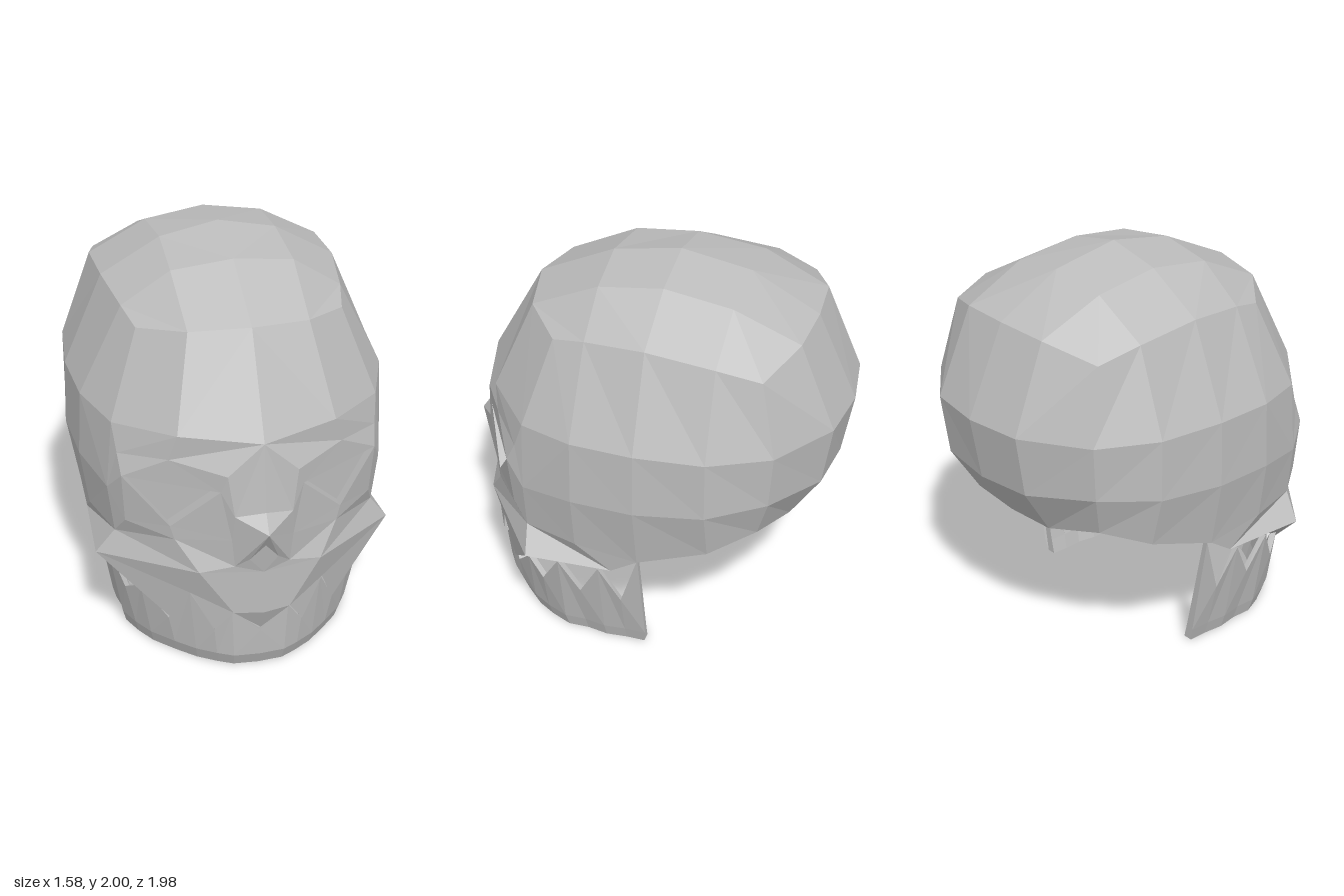
import * as THREE from 'three';

const bone = new THREE.MeshStandardMaterial({ color: 0xbcbcbc, side: THREE.DoubleSide, flatShading: true });
bone.name = 'bone grey';

const V = (x, y, z) => new THREE.Vector3(x, y, z);
const list = (...rows) => rows.map((r) => V(...r));

// Collects flat polygons for the left half, turns them away from a centre, and mirrors them.
class HalfPart {
  constructor(name) { this.name = name; this.data = []; }
  tri(a, b, c, centre, inward) {
    const n = b.clone().sub(a).cross(c.clone().sub(a));
    const mid = a.clone().add(b).add(c).divideScalar(3).sub(centre);
    if ((n.dot(mid) < 0) !== inward) [b, c] = [c, b];
    for (const p of [a, b, c]) this.data.push(p.x, p.y, p.z);
    for (const p of [a, c, b]) this.data.push(-p.x, p.y, p.z);
  }
  poly(points, centre = V(0, 1, 0.1), inward = false) {
    for (let i = 1; i < points.length - 1; i++) this.tri(points[0], points[i], points[i + 1], centre, inward);
    return this;
  }
  polys(...all) { all.forEach((p) => this.poly(p)); return this; }
  grid(rows) {
    for (let r = 0; r < rows.length - 1; r++)
      for (let i = 0; i < rows[r].length - 1; i++)
        this.poly([rows[r][i], rows[r][i + 1], rows[r + 1][i + 1], rows[r + 1][i]]);
    return this;
  }
  mesh() {
    const g = new THREE.BufferGeometry();
    g.setAttribute('position', new THREE.Float32BufferAttribute(this.data, 3));
    g.computeVertexNormals();
    const m = new THREE.Mesh(g, bone);
    m.name = this.name;
    return m;
  }
}

export function createModel() {
  const group = new THREE.Group();
  group.name = 'skull';

  // Half rings of the braincase, running from front centre to back centre
  const t = list([0, 1.76, 0.62], [0.29, 1.74, 0.56], [0.5, 1.7, 0.38], [0.54, 1.74, 0.21], [0.585, 1.77, -0.1],
    [0.59, 1.74, -0.44], [0.54, 1.68, -0.65], [0.28, 1.75, -0.765], [0, 1.76, -0.785]);
  const a = list([0, 1.29, 0.88], [0.38, 1.3, 0.74], [0.65, 1.28, 0.5], [0.755, 1.3, 0.22], [0.78, 1.31, -0.1],
    [0.745, 1.31, -0.44], [0.6, 1.31, -0.73], [0.3, 1.32, -0.945], [0, 1.32, -0.985]);
  const b = list([0.77, 0.97, 0.22], [0.79, 0.98, -0.1], [0.745, 1, -0.44], [0.59, 1.03, -0.71], [0.3, 1.01, -0.9], [0, 1, -0.93]);
  const c = list([0.73, 0.68, 0.22], [0.73, 0.64, -0.1], [0.68, 0.74, -0.44], [0.54, 0.82, -0.65], [0.28, 0.77, -0.75], [0, 0.76, -0.76]);

  // Crown, sides and back
  const cranium = new HalfPart('cranium');
  cranium.grid([
    [t[0], t[1], t[2]],
    [V(0, 1.94, 0.24), V(0.3, 1.9, 0.22), t[3]],
    [V(0, 2, -0.1), V(0.29, 1.94, -0.1), t[4]],
    [V(0, 1.94, -0.45), V(0.3, 1.895, -0.44), t[5]],
    [t[8], t[7], t[6]],
  ]);
  cranium.grid([t, a]).grid([a.slice(3), b, c]);

  // Underside of the braincase
  const base = new HalfPart('skullBase');
  const s0 = V(0, 0.545, 0.04), s2 = V(0.72, 0.545, 0.04), f0 = V(0, 0.64, -0.1), f1 = V(0, 0.68, -0.46);
  base.polys([s0, s2, c[1], f0], [f0, c[1], c[2], f1], [f1, c[2], c[3], c[4], c[5]]);

  // Brow, eye surround and cheek
  const [g1, g2, g3, o, l, e, i, n] = list([0.17, 1.13, 0.87], [0.42, 1.17, 0.72], [0.635, 1.14, 0.55],
    [0.68, 0.93, 0.5], [0.61, 0.78, 0.58], [0.4, 0.74, 0.74], [0.15, 0.78, 0.87], [0.14, 0.92, 0.89]);
  const [bridge, q, p, m0, m1] = list([0, 0.95, 0.93], [0.65, 0.68, 0.5], [0.745, 0.55, 0.48], [0, 0.6, 0.9], [0.3, 0.59, 0.83]);
  const eye = list([0.2, 1.04, 0.85], [0.625, 1.04, 0.6], [0.42, 0.81, 0.73]);
  const [e1, e2, e3] = eye;
  const face = new HalfPart('face');
  face.polys(
    [a[0], a[1], g2, g1], [a[1], a[2], g3, g2], [o, g3, a[2], a[3], b[0]], [a[0], g1, n, bridge], [o, b[0], c[0], q], [o, q, l],
    [e1, g1, g2], [e1, g2, e2], [e2, g2, g3], [e2, g3, o], [e2, o, l], [e2, l, e3],
    [e3, l, e], [e3, e, i], [e3, i, e1], [e1, i, n], [e1, n, g1],
    [e, l, q, m1], [q, p, m1], [q, p, s2, c[0]], [c[0], s2, c[1]],
  );

  // Shallow triangular eye recess
  const sockets = new HalfPart('eyeSockets');
  const deep = eye.map((v) => v.clone().add(V(0, 0, -0.06)));
  const eyeMid = V(0.415, 0.96, 0.7);
  sockets.poly(deep);
  for (let k = 0; k < 3; k++) {
    const j = (k + 1) % 3;
    sockets.poly([eye[k], eye[j], deep[j], deep[k]], eyeMid, true);
  }

  // Hooded nose with openings beneath it
  const [tip, w, v, u] = list([0, 0.86, 0.99], [0.135, 0.63, 0.87], [0.07, 0.68, 0.9], [0, 0.77, 0.93]);
  const nose = new HalfPart('nose');
  nose.polys([bridge, n, tip], [n, i, tip], [tip, i, w], [tip, w, v], [tip, v, u],
    [u, v, m0], [v, w, m0], [w, m1, m0], [i, e, w], [e, m1, w]);

  // Upper jaw with pointed teeth
  const [j0, k0, k1, k2, k3, k4] = list([0, 0.36, 0.9], [0, 0.24, 0.85], [0.14, 0.36, 0.87],
    [0.22, 0.24, 0.82], [0.33, 0.435, 0.765], [0.41, 0.24, 0.68]);
  const upper = new HalfPart('upperTeeth');
  upper.polys([m0, k1, j0], [j0, k1, k0], [m0, m1, k1], [m1, k3, k1], [k1, k3, k2], [m1, p, k3], [k3, p, k4]);

  // Roof of the mouth
  const [r0, h, h0] = list([0, 0.43, 0.8], [0.4, 0.49, 0.35], [0, 0.5, 0.35]);
  const palate = new HalfPart('palate');
  palate.polys([r0, k1, k3], [r0, k0, k1], [r0, k3, h, h0], [h0, h, s2, s0], [k4, h, p], [k3, k4, h], [p, h, s2]);

  // Lower jaw: U-shaped band whose rim alternates between valleys and tooth points
  const rim = list([0, 0.22, 0.85], [0.14, 0.345, 0.84], [0.22, 0.22, 0.8], [0.33, 0.42, 0.74], [0.42, 0.225, 0.655],
    [0.54, 0.37, 0.55], [0.6, 0.3, 0.45], [0.67, 0.49, 0.34], [0.65, 0.31, 0.23], [0.69, 0.51, 0.12],
    [0.66, 0.31, 0.01], [0.69, 0.62, -0.09]);
  const section = (r, index) => {
    const flare = 0.66 + 0.1 * r.y;
    const x = r.x * Math.min(1, 0.64 / flare);
    const at = (s, y) => V(x * s, y, -0.1 + (r.z + 0.1) * s);
    const end = index === rim.length - 1 ? -0.01 : 0;
    return [r, at(0.99, 0.07).add(V(0, 0, end)), at(0.96, 0), at(0.88, 0), at(0.91, 0.08),
      V(r.x * 0.96, r.y - 0.01, -0.1 + (r.z + 0.1) * 0.96)];
  };
  const jaw = new HalfPart('lowerJaw');
  const sections = rim.map(section);
  for (let k = 0; k < sections.length - 1; k++) {
    const A = sections[k], B = sections[k + 1];
    const mid = V(0, 0, 0);
    [...A, ...B].forEach((pt) => mid.addScaledVector(pt, 1 / 12));
    for (let s = 0; s < 6; s++) {
      const d = (s + 1) % 6;
      jaw.poly([A[s], A[d], B[d], B[s]], mid);
    }
  }
  jaw.poly(sections[sections.length - 1], V(0.6, 0.3, 0.1));

  for (const part of [cranium, base, face, sockets, nose, upper, palate, jaw]) group.add(part.mesh());
  return group;
}
